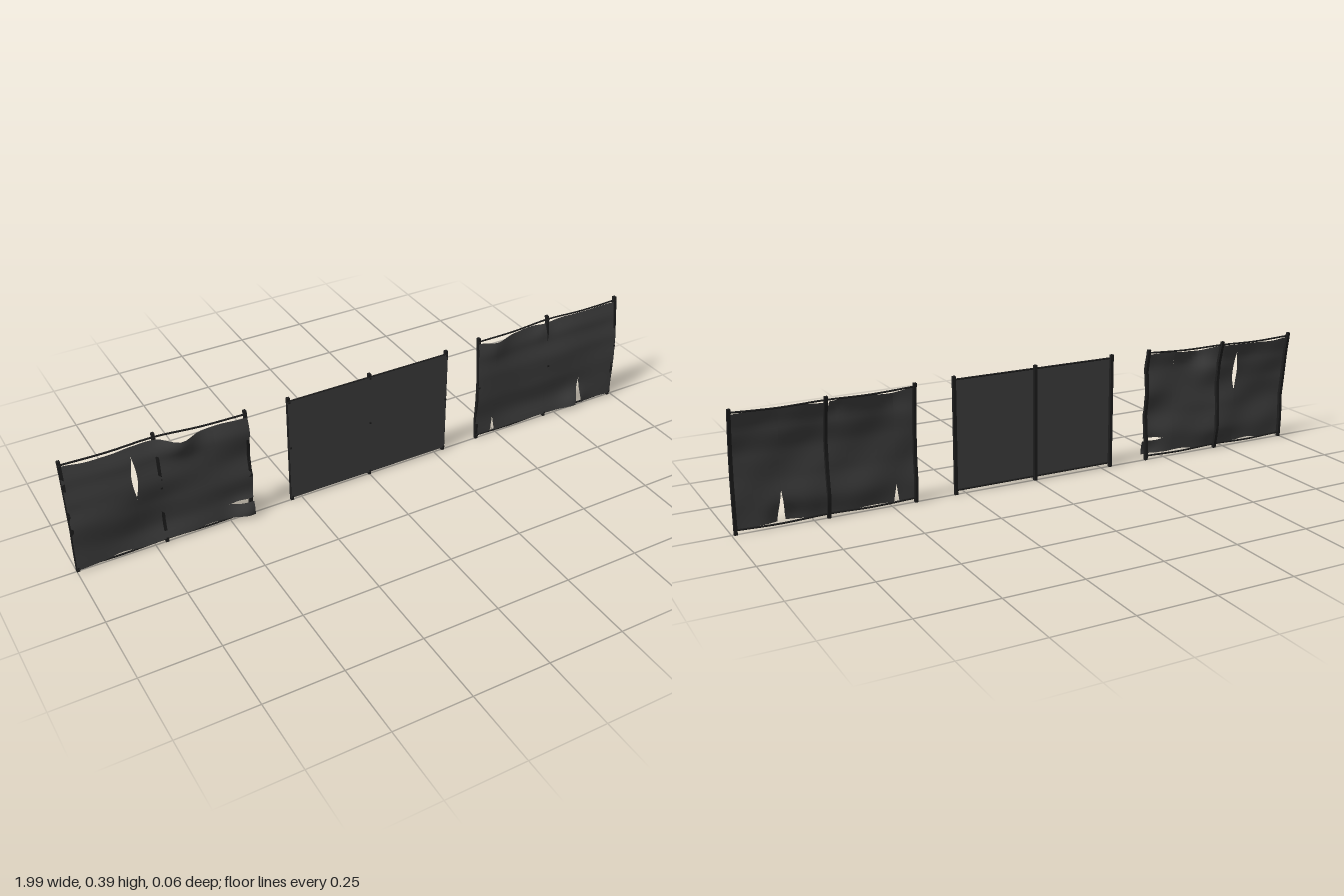
import * as THREE from 'three';

const frameMat = new THREE.MeshStandardMaterial({ color: 0x1e1e1e });
const clothMat = new THREE.MeshStandardMaterial({ color: 0x404040, side: THREE.DoubleSide });
const H = 0.387, LEVELS = 5;
const { lerp, smoothstep } = THREE.MathUtils;

// Smooth interpolation through evenly spaced values, t in 0..1
function sample(values, t) {
  const f = Math.min(Math.max(t, 0), 1) * (values.length - 1);
  const i = Math.min(Math.floor(f), values.length - 2);
  return lerp(values[i], values[i + 1], smoothstep(f - i, 0, 1));
}

function add(group, name, geometry, material) {
  const mesh = new THREE.Mesh(geometry, material);
  mesh.name = name;
  group.add(mesh);
  return mesh;
}

// Cloth patch between a left and right edge x(y) and a bottom and top edge y(x)
function clothPatch(left, right, bottom, top, depth) {
  const nx = 14, ny = 28, pos = [], index = [];
  for (let j = 0; j <= ny; j++) for (let i = 0; i <= nx; i++) {
    const u = i / nx, v = j / ny;
    const guess = lerp(left(v * 0.37), right(v * 0.37), u);
    const y = lerp(bottom(guess), top(guess), v);
    const x = lerp(left(y), right(y), u);
    pos.push(x, y, depth(x, y));
    if (i < nx && j < ny) {
      const a = j * (nx + 1) + i, b = a + nx + 1;
      index.push(a, a + 1, b + 1, a, b + 1, b);
    }
  }
  const g = new THREE.BufferGeometry();
  g.setAttribute('position', new THREE.Float32BufferAttribute(pos, 3));
  g.setIndex(index);
  g.computeVertexNormals();
  return g;
}

function fencePanel(p) {
  const group = new THREE.Group();
  group.name = p.name;
  const [x0, x1] = [p.x - 0.284, p.x + 0.284];
  const bend = (k, y) => sample(p.bends[k], y / H);
  const frameZ = (x, y) => sample([0, 1, 2].map(k => bend(k, y)), (x - x0) / (x1 - x0));

  // Three bent posts with small ties to the cloth
  for (let k = 0; k < 3; k++) {
    const x = lerp(x0, x1, k / 2);
    const post = new THREE.BoxGeometry(0.01, H, 0.011, 1, LEVELS * 2, 1);
    post.translate(x, H / 2, 0);
    const a = post.attributes.position;
    for (let i = 0; i < a.count; i++) a.setZ(i, a.getZ(i) + bend(k, a.getY(i)) - 0.001);
    post.computeVertexNormals();
    add(group, 'post', post, frameMat);
    for (const y of [0.015, 0.205, 0.373]) {
      const tie = add(group, 'tie', new THREE.BoxGeometry(0.006, 0.006, 0.012), frameMat);
      tie.position.set(x, y, bend(k, y) + 0.003);
    }
  }

  // Thin top and bottom rails following the posts
  for (const y of [0.375, 0.013]) {
    const pts = [0, 0.25, 0.5, 0.75, 1].map(t => {
      const x = lerp(x0, x1, t);
      return new THREE.Vector3(x, y - (p.torn && t % 0.5 ? 0.004 : 0), frameZ(x, y) + 0.002);
    });
    add(group, 'rail', new THREE.TubeGeometry(new THREE.CatmullRomCurve3(pts), 20, 0.003, 6), frameMat);
  }

  // Rippled cloth, pushed out around the torn places
  const depth = (x, y) => {
    let z = frameZ(x, y) + 0.005;
    if (p.torn) z += 0.003 * Math.sin(x * 24 + y * 9) * Math.sin(y * 17 + x * 5);
    for (const [bx, by, r, dz] of p.bulges)
      z += dz * Math.exp(-((x - bx) ** 2 + (y - by) ** 2) / (r * r));
    return z;
  };
  const top = x => sample(p.top, (x - x0) / (x1 - x0));
  const bottom = x => sample(p.bottom, (x - x0) / (x1 - x0));

  // Vertical tears split the cloth; each is [x, yLow, yHigh, halfWidth, shape]
  const half = ([, lo, hi, w, shape], y) => {
    const t = (y - lo) / (hi - lo);
    if (t <= 0 || t >= 1) return (shape === 'up' && t >= 1) || (shape === 'down' && t <= 0) ? w : 0;
    return w * (shape === 'slit' ? Math.sin(Math.PI * t) : shape === 'up' ? t : 1 - t);
  };
  const cutEdge = (tear, side) => y => tear[0] + side * half(tear, y);
  const lefts = [y => x0 - 0.004 + sample(p.leftEdge, y / H), ...p.tears.map(t => cutEdge(t, 1))];
  const rights = [...p.tears.map(t => cutEdge(t, -1)), y => x1 + 0.004 + sample(p.rightEdge, y / H)];
  lefts.forEach((left, i) => {
    const right = rights[i];
    if (p.sideRip && i === lefts.length - 1) {
      // A sideways rip opening towards the right edge
      const [rx, ry, open] = p.sideRip;
      const gap = x => open * smoothstep(x, rx, rx + 0.03);
      add(group, 'cloth', clothPatch(left, right, bottom, x => ry - gap(x), depth), clothMat);
      add(group, 'cloth', clothPatch(left, right, x => ry + gap(x), top, depth), clothMat);
    } else add(group, 'cloth', clothPatch(left, right, bottom, top, depth), clothMat);
  });
  return group;
}

export function createModel() {
  const model = new THREE.Group();
  model.name = 'fencePanels';
  const flat = [0, 0], straight = [0, 0, 0];

  model.add(fencePanel({
    name: 'intactPanel', x: 0, torn: false, bends: [flat, flat, flat], bulges: [], tears: [],
    top: [0.375, 0.375], bottom: [0.01, 0.01], leftEdge: straight, rightEdge: straight,
  }));

  model.add(fencePanel({
    name: 'wornPanelRight', x: -0.712, torn: true,
    bends: [
      [0, -0.002, 0.002, -0.006, -0.013, -0.024],
      [0, -0.013, -0.01, -0.002, -0.009, -0.026],
      [0, 0.003, 0.011, 0.002, 0.009, -0.003],
    ],
    bulges: [[-0.64, 0.36, 0.05, 0.028], [-0.44, 0.02, 0.05, 0.024], [-0.82, 0.15, 0.08, 0.006]],
    tears: [[-0.79, 0.2, 0.335, 0.009, 'slit'], [-0.535, 0, 0.01, 0, 'slit']],
    sideRip: [-0.5, 0.066, 0.006],
    top: [0.37, 0.363, 0.365, 0.368, 0.37, 0.355, 0.363, 0.368, 0.366],
    bottom: [0.008, 0.01, 0.018, 0.012, 0.014, 0.011, 0.018, 0.015, 0.012],
    leftEdge: [0, 0.001, 0.002, 0.001, 0, 0],
    rightEdge: [0, 0, 0.003, -0.009, 0.002, 0],
  }));

  model.add(fencePanel({
    name: 'wornPanelLeft', x: 0.704, torn: true,
    bends: [
      [0, -0.004, 0, -0.001, -0.006, -0.014],
      [0, -0.011, -0.004, -0.002, -0.012, -0.027],
      [0, 0.001, 0.002, -0.002, -0.011, -0.022],
    ],
    bulges: [[0.83, 0.02, 0.05, 0.017], [0.49, 0.36, 0.05, 0.01], [0.68, 0.35, 0.03, 0.006]],
    tears: [[0.483, 0.01, 0.07, 0.009, 'down'], [0.699, 0.3, 0.37, 0.009, 'up'],
      [0.845, 0.01, 0.115, 0.014, 'down']],
    top: [0.37, 0.36, 0.367, 0.371, 0.366, 0.37, 0.371, 0.371, 0.369],
    bottom: [0.01, 0.012, 0.014, 0.011, 0.012, 0.011, 0.013, 0.012, 0.01],
    leftEdge: [0, 0, 0.001, 0.001, 0, 0],
    rightEdge: [0, -0.001, 0, -0.002, -0.005, 0],
  }));
  return model;
}
